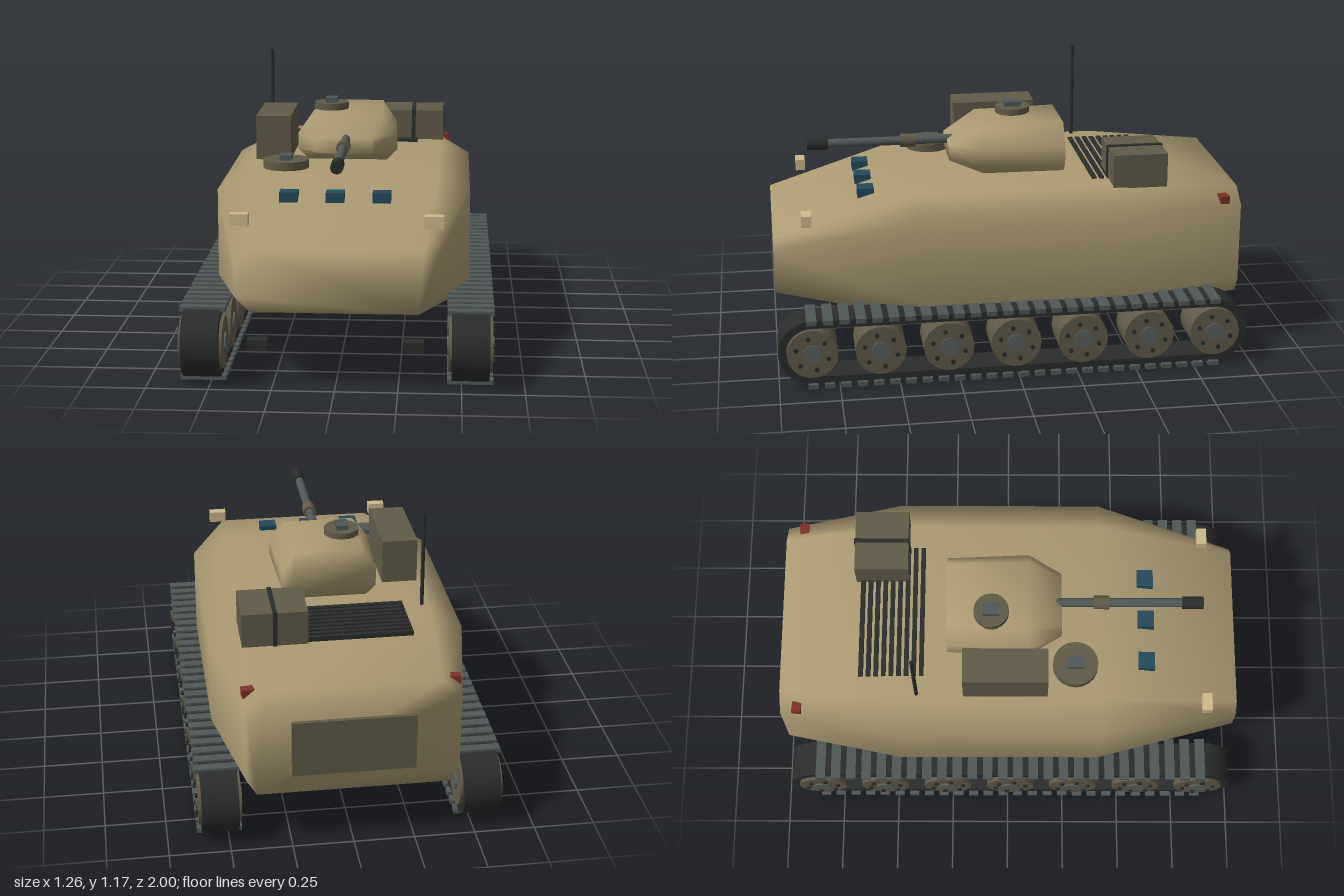
import * as THREE from 'three';

const mat = (color, side = THREE.FrontSide) => new THREE.MeshStandardMaterial({ color, side });

// Skin a body through octagonal sections: [z, bottomY, lowY, highY, topY, bottomHalf, midHalf, topHalf], front to back
function loft(sections) {
  const pos = [], idx = [], n = 8;
  for (const [z, y0, y1, y2, y3, wb, wm, wt] of sections) {
    const half = [[wb, y0], [wm, y1], [wm, y2], [wt, y3]];
    for (const [x, y] of half) pos.push(x, y, z);
    for (const [x, y] of [...half].reverse()) pos.push(-x, y, z);
  }
  const last = (sections.length - 1) * n;
  for (let s = 0; s < last; s += n) {
    for (let i = 0; i < n; i++) {
      const j = (i + 1) % n;
      idx.push(s + i, s + n + i, s + j, s + j, s + n + i, s + n + j);
    }
  }
  for (let i = 1; i < n - 1; i++) {
    idx.push(0, i, i + 1, last, last + i + 1, last + i);
  }
  const g = new THREE.BufferGeometry();
  g.setAttribute('position', new THREE.Float32BufferAttribute(pos, 3));
  g.setIndex(idx);
  g.computeVertexNormals();
  return g;
}

// Closed belt path with rounded ends, in (z, y)
function stadium(path, z0, z1, y, r) {
  path.moveTo(z0, y - r);
  path.lineTo(z1, y - r);
  path.absarc(z1, y, r, -Math.PI / 2, Math.PI / 2, false);
  path.lineTo(z0, y + r);
  path.absarc(z0, y, r, Math.PI / 2, Math.PI * 1.5, false);
  return path;
}

export function createModel() {
  const model = new THREE.Group();
  const tan = mat(0xab9a72), olive = mat(0x615a48), dark = mat(0x2a2d2b), steel = mat(0x505857);
  const glass = mat(0x234a5a), lamp = mat(0xcdb98a), red = mat(0x7d2f28), hubGrey = mat(0x59605c);

  const add = (name, geo, material, x = 0, y = 0, z = 0, parent = model) => {
    const m = new THREE.Mesh(geo, material);
    m.name = name;
    m.position.set(x, y, z);
    parent.add(m);
    return m;
  };
  const box = (name, w, h, d, material, x, y, z, parent) =>
    add(name, new THREE.BoxGeometry(w, h, d), material, x, y, z, parent);
  const rod = (name, r, len, material, x, y, z, axis = 'y', seg = 16, parent = model) => {
    const g = new THREE.CylinderGeometry(r, r, len, seg);
    if (axis === 'z') g.rotateX(Math.PI / 2);
    if (axis === 'x') g.rotateZ(Math.PI / 2);
    return add(name, g, material, x, y, z, parent);
  };

  // Hull and turret
  add('hull', loft([
    [1.0, 0.32, 0.38, 0.52, 0.57, 0.33, 0.39, 0.35],
    [0.4, 0.215, 0.31, 0.68, 0.75, 0.44, 0.53, 0.40],
    [-0.48, 0.21, 0.31, 0.68, 0.75, 0.44, 0.53, 0.40],
    [-0.98, 0.245, 0.31, 0.65, 0.71, 0.39, 0.43, 0.35],
  ]), tan);
  add('turret', loft([
    [0.23, 0.80, 0.815, 0.855, 0.87, 0.11, 0.135, 0.11],
    [0.09, 0.755, 0.80, 0.87, 0.95, 0.17, 0.215, 0.15],
    [-0.26, 0.75, 0.79, 0.87, 0.96, 0.16, 0.20, 0.14],
  ]), tan);

  // Gun
  rod('gunBarrel', 0.019, 0.6, steel, 0, 0.865, 0.48, 'z');
  rod('gunCollar', 0.029, 0.065, olive, 0, 0.865, 0.4, 'z');
  rod('gunMuzzle', 0.026, 0.09, dark, 0, 0.865, 0.79, 'z');

  // Hatches with periscopes
  for (const [name, r, x, y, z] of [
    ['commanderHatch', 0.075, -0.08, 0.965, -0.07],
    ['driverHatch', 0.097, -0.25, 0.775, 0.29],
  ]) {
    rod(name, r, 0.035, olive, x, y, z, 'y', 20);
    box(name + 'Periscope', 0.052, 0.025, 0.072, steel, x, y + 0.025, z);
  }

  // Stowage, strap and antenna
  box('sideStowageBox', 0.15, 0.19, 0.36, olive, -0.315, 0.86, -0.01);
  box('rearStowageBox', 0.27, 0.145, 0.23, olive, 0.275, 0.813, -0.545);
  box('stowageStrap', 0.018, 0.15, 0.24, dark, 0.275, 0.815, -0.545);
  rod('antenna', 0.008, 0.42, dark, -0.375, 0.96, -0.39, 'y', 8);

  // Engine grille
  for (let i = 0; i < 9; i++) {
    box('grilleSlat', 0.59, 0.025, 0.02, dark, 0, 0.745, -0.37 - i * 0.0325);
  }

  // Rear door and vision blocks
  box('rearDoor', 0.5, 0.24, 0.025, olive, 0, 0.45, -0.985);
  for (const x of [-0.21, -0.02, 0.17]) {
    box('visionBlock', 0.075, 0.042, 0.07, glass, x, 0.70, 0.6);
  }

  // Track shapes shared by both sides
  const beltShape = stadium(new THREE.Shape(), -0.835, 0.86, 0.155, 0.14);
  beltShape.holes.push(stadium(new THREE.Path(), -0.835, 0.86, 0.155, 0.108));
  const beltGeo = new THREE.ExtrudeGeometry(beltShape, { depth: 0.15, bevelEnabled: false, curveSegments: 20 });
  beltGeo.translate(0, 0, -0.075);
  beltGeo.rotateY(-Math.PI / 2);

  for (const side of [-1, 1]) {
    // Lamps and tow hooks
    box('headlight', 0.075, 0.048, 0.042, lamp, side * 0.385, 0.66, 0.86);
    box('tailLight', 0.065, 0.035, 0.04, red, side * 0.405, 0.675, -0.905).rotation.y = side * 0.12;
    box('towHook', 0.08, 0.045, 0.05, dark, side * 0.31, 0.167, 0.92);

    const track = new THREE.Group();
    track.name = side > 0 ? 'leftTrack' : 'rightTrack';
    track.position.x = side * 0.535;
    model.add(track);
    add('trackBelt', beltGeo, dark, 0, 0, 0, track);

    // Track pads on the upper and lower runs
    for (let i = 0; i < 26; i++) {
      const z = 0.86 - i * 1.695 / 25;
      for (const y of [0.01, 0.293]) box('trackPad', 0.185, 0.02, 0.042, steel, 0, y, z, track);
    }

    // Road wheels with hubs and bolts
    for (let i = 0; i < 7; i++) {
      const z = 0.86 - i * 1.695 / 6;
      rod('roadWheel', 0.106, 0.175, olive, 0, 0.155, z, 'x', 18, track);
      rod('wheelHub', 0.04, 0.188, hubGrey, 0, 0.155, z, 'x', 12, track);
      for (let k = 0; k < 6; k++) {
        const a = k * Math.PI / 3 + 0.3;
        rod('wheelBolt', 0.01, 0.016, dark, side * 0.089,
          0.155 + 0.07 * Math.sin(a), z + 0.07 * Math.cos(a), 'x', 6, track);
      }
    }
  }
  return model;
}
